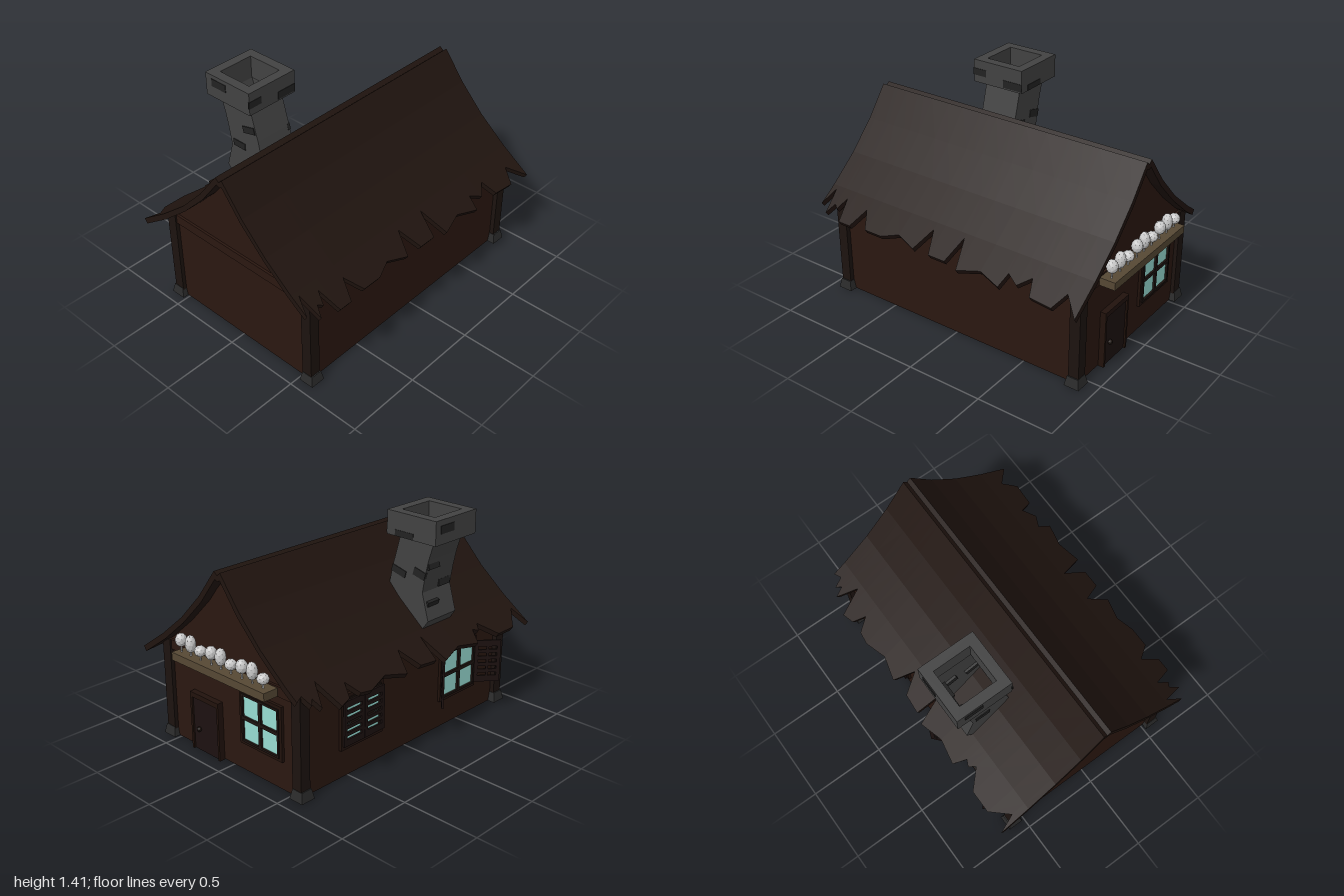
import * as THREE from 'three';

const paint = (color, side = THREE.FrontSide) =>
  new THREE.MeshStandardMaterial({ color, flatShading: true, side });
const WALL = paint(0x2a1710), ROOF = paint(0x20140f), TIMBER = paint(0x1c130f), TRIM = paint(0x21120c);
const DOOR = paint(0x1c1110), STONE = paint(0x424242), STONE_OPEN = paint(0x424242, THREE.DoubleSide);
const BRICK = paint(0x222222), FOOT = paint(0x2a2a2a), SHELF = paint(0x564834);
const GLASS = paint(0x98ddd3), PLANT = paint(0xcccccc);

function add(parent, name, geometry, material, x = 0, y = 0, z = 0) {
  const mesh = new THREE.Mesh(geometry, material);
  mesh.name = name;
  mesh.position.set(x, y, z);
  parent.add(mesh);
  return mesh;
}
const box = (w, h, d) => new THREE.BoxGeometry(w, h, d);
function group(parent, name, x = 0, y = 0, z = 0, ry = 0) {
  const g = new THREE.Group();
  g.name = name;
  g.position.set(x, y, z);
  g.rotation.y = ry;
  parent.add(g);
  return g;
}

// Skin over closed rings of points; rings run counter-clockwise about the sweep direction
function loft(rings, capped, flip) {
  const n = rings[0].length, index = [];
  const quad = (a, b, c, d) => flip ? index.push(a, c, b, a, d, c) : index.push(a, b, c, a, c, d);
  for (let k = 0; k < rings.length - 1; k++)
    for (let j = 0; j < n; j++) {
      const i = (j + 1) % n;
      quad(k * n + j, k * n + i, (k + 1) * n + i, (k + 1) * n + j);
    }
  const last = (rings.length - 1) * n;
  for (let j = 0; capped && j < n / 2 - 1; j++) {
    quad(n - 1 - j, n - 2 - j, j + 1, j);
    quad(last + j, last + j + 1, last + n - 2 - j, last + n - 1 - j);
  }
  const g = new THREE.BufferGeometry();
  g.setAttribute('position', new THREE.Float32BufferAttribute(rings.flat(2), 3));
  g.setIndex(index);
  const flat = g.toNonIndexed();
  flat.computeVertexNormals();
  return flat;
}

// Flat panel with rectangular holes [x0, y0, x1, y1], extruded along +z
function panel(w, h, depth, holes) {
  const rect = (T, x0, y0, x1, y1) =>
    new T([[x0, y0], [x1, y0], [x1, y1], [x0, y1]].map(p => new THREE.Vector2(...p)));
  const shape = rect(THREE.Shape, -w / 2, -h / 2, w / 2, h / 2);
  shape.holes = holes.map(r => rect(THREE.Path, ...r));
  return new THREE.ExtrudeGeometry(shape, { depth, bevelEnabled: false });
}

// Slatted shutter with its hinge at x = 0, reaching towards sign * x
function shutter(parent, name, sign, columns, x, z, angle) {
  const w = 0.166, h = 0.285, holes = [], step = (w - 0.03) / columns;
  for (let c = 0; c < columns; c++)
    for (let r = 0; r < 5; r++) {
      const x0 = -w / 2 + 0.015 + c * step, y = (r - 2) * 0.045;
      holes.push([x0 + 0.008, y - 0.011, x0 + step - 0.008, y + 0.011]);
    }
  const hinge = group(parent, name, x, 0, z, angle);
  add(hinge, 'shutterPanel', panel(w, h, 0.012, holes), DOOR, sign * w / 2);
}

// Four-pane window facing +z
function makeWindow(parent, name, x, y, z, ry) {
  const win = group(parent, name, x, y, z, ry);
  const holes = [];
  for (const sx of [-1, 1]) for (const sy of [-1, 1])
    holes.push([Math.min(sx * 0.011, sx * 0.142), Math.min(sy * 0.011, sy * 0.139),
      Math.max(sx * 0.011, sx * 0.142), Math.max(sy * 0.011, sy * 0.139)]);
  add(win, 'windowFrame', panel(0.31, 0.305, 0.025, holes), TIMBER);
  add(win, 'windowTrim', panel(0.35, 0.345, 0.018, [[-0.155, -0.1525, 0.155, 0.1525]]), TRIM);
  add(win, 'windowGlass', box(0.3, 0.295, 0.012), GLASS, 0, 0, 0.006);
  return win;
}

// Half of the roof: curved slab with a ragged eave given as [x, reach] pairs
function roofHalf(parent, name, side, eave) {
  const rings = eave.map(([x, e]) => {
    const y = 0.705 - 0.7 * (e - 0.53);
    return [[0, 1.2], [0.025, 1.222], [0.17, 1.035], [0.34, 0.86], [0.53, 0.705], [e, y],
      [e - 0.02, y - 0.03], [0.51, 0.675], [0.325, 0.83], [0.155, 1.0], [0.02, 1.175], [0, 1.165]]
      .map(([pz, py]) => [x, py, side * pz]);
  });
  add(parent, name, loft(rings, true, side < 0), ROOF);
}

export function createModel() {
  const house = new THREE.Group();
  house.name = 'cottage';

  // Walls with curved gables
  const half = [[0.565, 0.005], [0.565, 0.645], [0.5, 0.69], [0.325, 0.84], [0.155, 1.01]];
  const outline = [...half, [0, 1.185], ...half.map(([z, y]) => [-z, y]).reverse()];
  const walls = new THREE.ExtrudeGeometry(
    new THREE.Shape(outline.map(p => new THREE.Vector2(...p))), { depth: 1.78, bevelEnabled: false });
  add(house, 'walls', walls.rotateY(Math.PI / 2), WALL, -0.9);

  // Corner posts with stone feet, and a tie beam across each gable
  for (const sx of [-1, 1]) {
    const x = -0.01 + sx * 0.88;
    for (const sz of [-1, 1]) {
      add(house, 'cornerPost', box(0.07, 0.64, 0.07), TIMBER, x, 0.33, sz * 0.56);
      const foot = new THREE.CylinderGeometry(0.053, 0.071, 0.062, 4).rotateY(Math.PI / 4);
      add(house, 'postFoot', foot, FOOT, x, 0.034, sz * 0.565);
    }
    add(house, 'gableBeam', box(0.05, 0.062, 1.08), WALL, x, 0.619, 0);
  }

  // Roof
  roofHalf(house, 'frontRoof', 1, [[-1, 0.65], [-0.96, 0.55], [-0.93, 0.69], [-0.9, 0.63], [-0.87, 0.65],
    [-0.84, 0.58], [-0.8, 0.71], [-0.71, 0.71], [-0.66, 0.6], [-0.59, 0.7], [-0.46, 0.7], [-0.35, 0.66],
    [-0.21, 0.7], [-0.15, 0.57], [-0.09, 0.7], [0.03, 0.7], [0.07, 0.555], [0.13, 0.72], [0.28, 0.68],
    [0.43, 0.72], [0.45, 0.64], [0.53, 0.68], [0.6, 0.62], [0.64, 0.71], [0.79, 0.72], [0.84, 0.63], [0.95, 0.73]]);
  roofHalf(house, 'backRoof', -1, [[-1, 0.73], [-0.96, 0.62], [-0.85, 0.72], [-0.7, 0.72], [-0.6, 0.62],
    [-0.57, 0.66], [-0.53, 0.64], [-0.49, 0.72], [-0.33, 0.69], [-0.17, 0.73], [-0.12, 0.56], [-0.1, 0.71],
    [0.03, 0.7], [0.1, 0.58], [0.16, 0.71], [0.31, 0.67], [0.46, 0.71], [0.54, 0.7], [0.59, 0.62],
    [0.63, 0.7], [0.71, 0.72], [0.76, 0.56], [0.83, 0.69], [0.85, 0.63], [0.88, 0.66], [0.9, 0.6], [0.95, 0.62]]);

  // Crooked chimney shaft: [height, front z, back z]
  const chimney = group(house, 'chimney', -0.31);
  const shaft = [[0.66, -0.28, -0.5], [0.76, -0.27, -0.57], [0.93, -0.26, -0.52],
    [1.05, -0.285, -0.54], [1.14, -0.31, -0.56], [1.27, -0.345, -0.6]]
    .map(([y, f, b]) => [[-0.13, y, f], [0.13, y, f], [0.13, y, b], [-0.13, y, b]]);
  add(chimney, 'chimneyShaft', loft(shaft, false, false), STONE_OPEN);
  const cap = panel(0.37, 0.37, 0.15, [[-0.123, -0.123, 0.123, 0.123]]).rotateX(-Math.PI / 2);
  add(chimney, 'chimneyCap', cap, STONE, 0, 1.26, -0.467);

  // Darker bricks standing slightly proud: [x, y, z, width, height, depth, tilt]
  for (const [x, y, z, w, h, d, tilt] of [
    [0.125, 1.025, -0.335, 0.02, 0.045, 0.11, -0.25], [0.125, 1.045, -0.495, 0.02, 0.05, 0.09, -0.25],
    [-0.125, 1.1, -0.36, 0.02, 0.045, 0.1, -0.25], [-0.125, 0.96, -0.45, 0.02, 0.045, 0.1, 0],
    [0.07, 1.1, -0.547, 0.1, 0.045, 0.02, 0.22], [-0.06, 0.96, -0.522, 0.1, 0.045, 0.02, 0.1],
    [0.06, 0.85, -0.54, 0.1, 0.045, 0.02, -0.3], [-0.14, 1.33, 0.282 - 0.565, 0.1, 0.045, 0.008, 0],
    [0.115, 1.295, -0.283, 0.14, 0.05, 0.008, 0], [0.184, 1.281, -0.415, 0.008, 0.038, 0.14, 0],
    [-0.184, 1.36, -0.54, 0.008, 0.05, 0.12, 0], [0.08, 1.35, -0.651, 0.12, 0.05, 0.008, 0]])
    add(chimney, 'chimneyBrick', box(w, h, d), BRICK, x, y, z).rotation.x = tilt;

  // Door
  const door = group(house, 'door', 0.88, 0, 0.213, Math.PI / 2);
  add(door, 'doorPanel', box(0.23, 0.345, 0.03), DOOR, 0, 0.1735, 0.012);
  add(door, 'doorLintel', box(0.256, 0.032, 0.05), TRIM, 0, 0.362, 0.013);
  for (const s of [-1, 1]) add(door, 'doorJamb', box(0.016, 0.346, 0.05), TRIM, s * 0.12, 0.173, 0.013);
  add(door, 'doorKnob', new THREE.IcosahedronGeometry(0.016, 1), TIMBER, -0.06, 0.145, 0.035);

  // Windows: one beside the door, two on the back wall with closed and open shutters
  makeWindow(house, 'sideWindow', 0.88, 0.36, -0.262, Math.PI / 2);
  const closed = makeWindow(house, 'shutteredWindow', 0.4, 0.36, -0.565, Math.PI);
  const open = makeWindow(house, 'openWindow', -0.48, 0.36, -0.565, Math.PI);
  for (const s of [-1, 1]) {
    shutter(closed, 'closedShutter', -s, 1, s * 0.168, 0.026, 0);
    shutter(open, 'openShutter', s, 2, s * 0.165, 0.015, -s * 0.72);
  }

  // Shelf with a row of little faceted plants
  add(house, 'plantShelf', box(0.115, 0.05, 0.8), SHELF, 0.938, 0.615, -0.008);
  const kinds = [[0.715, 0.036, 0.044], [0.715, 0.034, 0.056], [0.697, 0.037, 0.034]];
  [0.355, 0.268, 0.18, 0.083, 0, -0.088, -0.18, -0.266, -0.355].forEach((z, i) => {
    const [y, r, h] = kinds[i % 3];
    const plant = group(house, 'plant', 0.95, 0, z, i * 0.7);
    add(plant, 'plantCrown', new THREE.IcosahedronGeometry(1, 1).scale(r, h, r), PLANT, 0, y, 0);
    add(plant, 'plantStem', new THREE.CylinderGeometry(0.004, 0.006, 0.06, 5), PLANT, 0, 0.665, 0);
  });
  return house;
}
